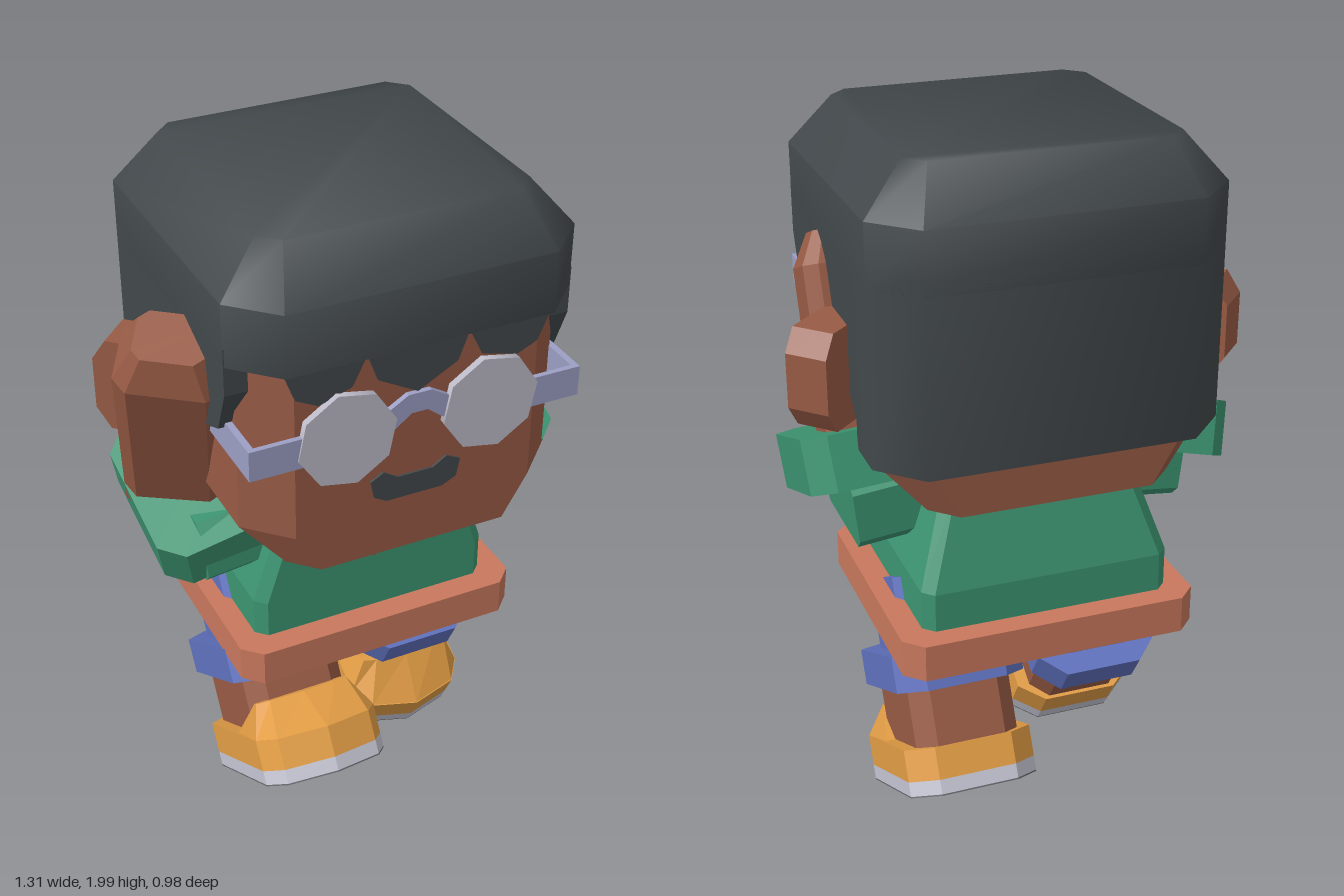
import * as THREE from 'three';
import { toCreasedNormals } from 'three/addons/utils/BufferGeometryUtils.js';

const CX = 0.022; // the body's own middle line

const makeMat = (name, color) => {
  const m = new THREE.MeshStandardMaterial({ color });
  m.name = name;
  return m;
};

// Octagonal cross-section: half sizes, corner cut, height, centre
function octa(hx, hz, c, y, cx = 0, cz = 0) {
  return [[hx, c - hz], [hx, hz - c], [hx - c, hz], [c - hx, hz],
    [-hx, hz - c], [-hx, c - hz], [c - hx, -hz], [hx - c, -hz]]
    .map(([x, z]) => new THREE.Vector3(x + cx, y, z + cz));
}

const outline = (pts, y) => pts.map(([x, z]) => new THREE.Vector3(x, y, z));

// Closed faceted solid through rings listed from bottom to top
function loft(rings) {
  const v = [];
  const tri = (...p) => p.forEach((q) => v.push(q.x, q.y, q.z));
  const n = rings[0].length;
  for (let r = 0; r < rings.length - 1; r++) {
    for (let i = 0; i < n; i++) {
      const j = (i + 1) % n, lo = rings[r], hi = rings[r + 1];
      tri(lo[i], hi[i], lo[j]);
      tri(lo[j], hi[i], hi[j]);
    }
  }
  const bottom = rings[0], top = rings[rings.length - 1];
  for (let i = 1; i < n - 1; i++) {
    tri(bottom[0], bottom[i], bottom[i + 1]);
    tri(top[0], top[i + 1], top[i]);
  }
  const g = new THREE.BufferGeometry();
  g.setAttribute('position', new THREE.Float32BufferAttribute(v, 3));
  g.computeVertexNormals();
  return g;
}

// Flat outline extruded by depth along +z
function plate(pts, depth) {
  const s = new THREE.Shape(pts.map(([x, y]) => new THREE.Vector2(x, y)));
  return new THREE.ExtrudeGeometry(s, { depth, bevelEnabled: false });
}

export function createModel() {
  const mat = {
    skin: makeMat('skin', 0x985b45),
    hair: makeMat('hair', 0x42484b),
    shirt: makeMat('shirt green', 0x3d9572),
    hem: makeMat('hem terracotta', 0xc8785d),
    shorts: makeMat('shorts blue', 0x5f71be),
    shoe: makeMat('shoe orange', 0xe29d45),
    trim: makeMat('shoe trim', 0xc6c6d4),
    sole: makeMat('sole grey', 0x69686f),
    lens: makeMat('lens', 0xbebcc9),
    frame: makeMat('glasses frame', 0x9c9fc4),
  };
  const model = new THREE.Group();
  model.name = 'figure';

  const add = (name, geo, m, parent = model, x = 0, y = 0, z = 0) => {
    const mesh = new THREE.Mesh(geo, m);
    mesh.name = name;
    mesh.position.set(x, y, z);
    parent.add(mesh);
    return mesh;
  };

  // Eight-sided bar between two points; tip below 1 narrows the far end
  const bar = (name, a, b, hx, hz, cut, m, tip = 1, twist = 0) => {
    const p = new THREE.Vector3(...a), d = new THREE.Vector3(...b).sub(p);
    const L = d.length();
    const rings = [octa(hx, hz, cut, 0), octa(hx, hz, cut, L)];
    if (tip < 1) {
      rings[1] = octa(hx, hz, cut, L * 0.86);
      rings.push(octa(hx * tip, hz * tip, cut * tip, L));
    }
    const mesh = add(name, loft(rings), m, model, ...a);
    mesh.quaternion.setFromUnitVectors(new THREE.Vector3(0, 1, 0), d.normalize());
    mesh.rotateY(twist);
    return mesh;
  };

  // Torso, hem and open neck
  add('torso', loft([
    octa(0.353, 0.305, 0.03, 0.68, CX, -0.08),
    octa(0.353, 0.305, 0.03, 0.83, CX, -0.08),
    octa(0.265, 0.268, 0.03, 1.1, CX, -0.043),
  ]), mat.shirt);
  add('hem', loft([
    octa(0.42, 0.373, 0.05, 0.615, 0.025, -0.078),
    octa(0.42, 0.373, 0.05, 0.72, 0.025, -0.078),
  ]), mat.hem);
  add('neckOpening', plate([[-0.16, 1.09], [0.02, 0.895], [0.2, 1.09]], 0.007), mat.skin, model, 0, 0, 0.224);

  // Head with tapered jaw
  add('head', loft([
    octa(0.335, 0.446, 0.07, 1.085, 0.025, -0.003),
    octa(0.446, 0.446, 0.11, 1.205, 0.025, -0.003),
    octa(0.446, 0.446, 0.11, 1.75, 0.025, -0.003),
  ]), mat.skin);

  // Hair: cap, side panels, back and fringe
  add('hairCap', toCreasedNormals(loft([
    octa(0.478, 0.478, 0.113, 1.7, CX, -0.008),
    octa(0.478, 0.478, 0.113, 1.87, CX, -0.008),
    octa(0.367, 0.367, 0.05, 2, CX, -0.008),
  ]), 0.95), mat.hair);
  const sides = plate([[-0.36, 1.75], [-0.36, 1.62], [-0.31, 1.5], [-0.15, 1.43], [0, 1.44],
    [0.12, 1.41], [0.24, 1.3], [0.24, 1.22], [0.373, 1.22], [0.373, 1.75]], 0.956);
  sides.rotateY(Math.PI / 2);
  add('hairSides', sides, mat.hair, model, CX - 0.478, 0, 0);
  const back = [[0.478, -0.373], [0.478, -0.25], [-0.478, -0.25], [-0.478, -0.373], [-0.365, -0.486], [0.365, -0.486]];
  add('hairBack', toCreasedNormals(loft([outline(back, 1.22), outline(back, 1.75)]), 0.95), mat.hair, model, CX);
  add('fringe', plate([[-0.35, 1.74], [-0.34, 1.7], [-0.31, 1.62], [-0.25, 1.59], [-0.16, 1.62],
    [-0.12, 1.7], [-0.09, 1.62], [0.02, 1.56], [0.13, 1.62], [0.16, 1.7], [0.2, 1.62], [0.3, 1.595],
    [0.355, 1.62], [0.39, 1.7], [0.39, 1.74]], 0.012), mat.hair, model, 0, 0, 0.439);
  add('moustache', plate([[-0.105, 1.32], [-0.07, 1.34], [-0.03, 1.315], [0.07, 1.315], [0.11, 1.34],
    [0.15, 1.32], [0.14, 1.27], [0.1, 1.25], [-0.06, 1.25], [-0.095, 1.27]], 0.008), mat.hair, model, 0, 0, 0.441);

  // Glasses
  const lens = new THREE.CylinderGeometry(0.136, 0.136, 0.02, 8);
  lens.rotateY(Math.PI / 16);
  lens.rotateX(Math.PI / 2);
  add('bridge', plate([[-0.08, 1.47], [-0.06, 1.53], [-0.01, 1.56], [0.054, 1.56], [0.104, 1.53],
    [0.124, 1.47], [0.09, 1.47], [0.045, 1.505], [0, 1.505], [-0.045, 1.47]], 0.015), mat.frame, model, 0, 0, 0.444);
  for (const s of [1, -1]) {
    add('lens', lens, mat.lens, model, CX + s * 0.2, 1.48, 0.457);
    add('frameFront', new THREE.BoxGeometry(0.16, 0.085, 0.015), mat.frame, model, CX + s * 0.382, 1.473, 0.454);
    add('frameArm', new THREE.BoxGeometry(0.018, 0.085, 0.36), mat.frame, model, CX + s * 0.453, 1.473, 0.281);

    // Ears flare backwards
    const ear = plate([[-0.13, -0.135], [0.09, -0.135], [0.13, -0.075], [0.13, 0.075], [0.09, 0.135], [-0.13, 0.135]], 0.12);
    ear.translate(0, 0, -0.06);
    const e = add('ear', ear, mat.skin, model, CX + s * 0.502, 1.405, -0.124);
    e.rotation.y = s > 0 ? 0.76 : Math.PI - 0.76;
  }

  // Left arm raised beside the head
  bar('leftUpperSleeve', [0.22, 1.02, -0.02], [0.5, 0.99, -0.02], 0.1, 0.175, 0.03, mat.shirt);
  bar('leftSleeveCuff', [0.455, 1.05, -0.075], [0.465, 1.19, -0.02], 0.17, 0.225, 0.06, mat.shirt);
  bar('leftForearm', [0.43, 1.1, -0.12], [0.43, 1.69, 0.125], 0.125, 0.095, 0.035, mat.skin, 0.65);

  // Right arm raised, leaning outwards
  bar('rightUpperSleeve', [-0.18, 1.02, -0.02], [-0.45, 0.99, -0.02], 0.1, 0.175, 0.03, mat.shirt);
  bar('rightSleeveCuff', [-0.385, 1.0, -0.075], [-0.42, 1.14, -0.02], 0.165, 0.225, 0.06, mat.shirt);
  bar('rightForearm', [-0.415, 1.08, -0.1], [-0.51, 1.69, 0.16], 0.14, 0.115, 0.04, mat.skin, 0.65, -0.55);

  // Legs, built once and swung forwards or backwards
  const shoe = [[0.183, -0.15], [0.183, 0.26], [0.14, 0.325], [0, 0.36], [-0.14, 0.325],
    [-0.183, 0.26], [-0.183, -0.15], [-0.11, -0.21], [0.11, -0.21]];
  const tongueBase = [[0.175, 0.08], [0.183, 0.26], [0.14, 0.325], [0, 0.36], [-0.14, 0.325], [-0.183, 0.26], [-0.175, 0.08]];
  const tongueTop = [[0.14, 0.19], [0.14, 0.205], [0.1, 0.215], [0, 0.225], [-0.1, 0.215], [-0.14, 0.205], [-0.14, 0.19]];
  const leg = (name, x, y, z, swing) => {
    const g = new THREE.Group();
    g.name = name;
    g.position.set(x, y, z);
    g.rotation.x = swing;
    model.add(g);
    add('shorts', loft([octa(0.135, 0.185, 0.05, 0), octa(0.135, 0.185, 0.05, 0.26)]), mat.shorts, g);
    add('shortsCuff', loft([octa(0.183, 0.25, 0.07, -0.05), octa(0.183, 0.25, 0.07, 0.05)]), mat.shorts, g);
    add('shin', loft([octa(0.147, 0.2, 0.05, -0.25), octa(0.147, 0.2, 0.05, -0.03)]), mat.skin, g);
    add('shoeUpper', loft([outline(shoe, -0.298), outline(shoe, -0.21)]), mat.shoe, g);
    add('shoeTongue', loft([outline(tongueBase, -0.212), outline(tongueTop, -0.122)]), mat.shoe, g);
    add('shoeTrim', loft([outline(shoe, -0.338), outline(shoe, -0.298)]), mat.trim, g);
    add('sole', loft([outline(shoe, -0.342), outline(shoe, -0.338)]), mat.sole, g);
  };
  leg('leftLeg', 0.26, 0.475, -0.15, 0.476);
  leg('rightLeg', -0.213, 0.487, 0.003, -0.576);

  return model;
}
